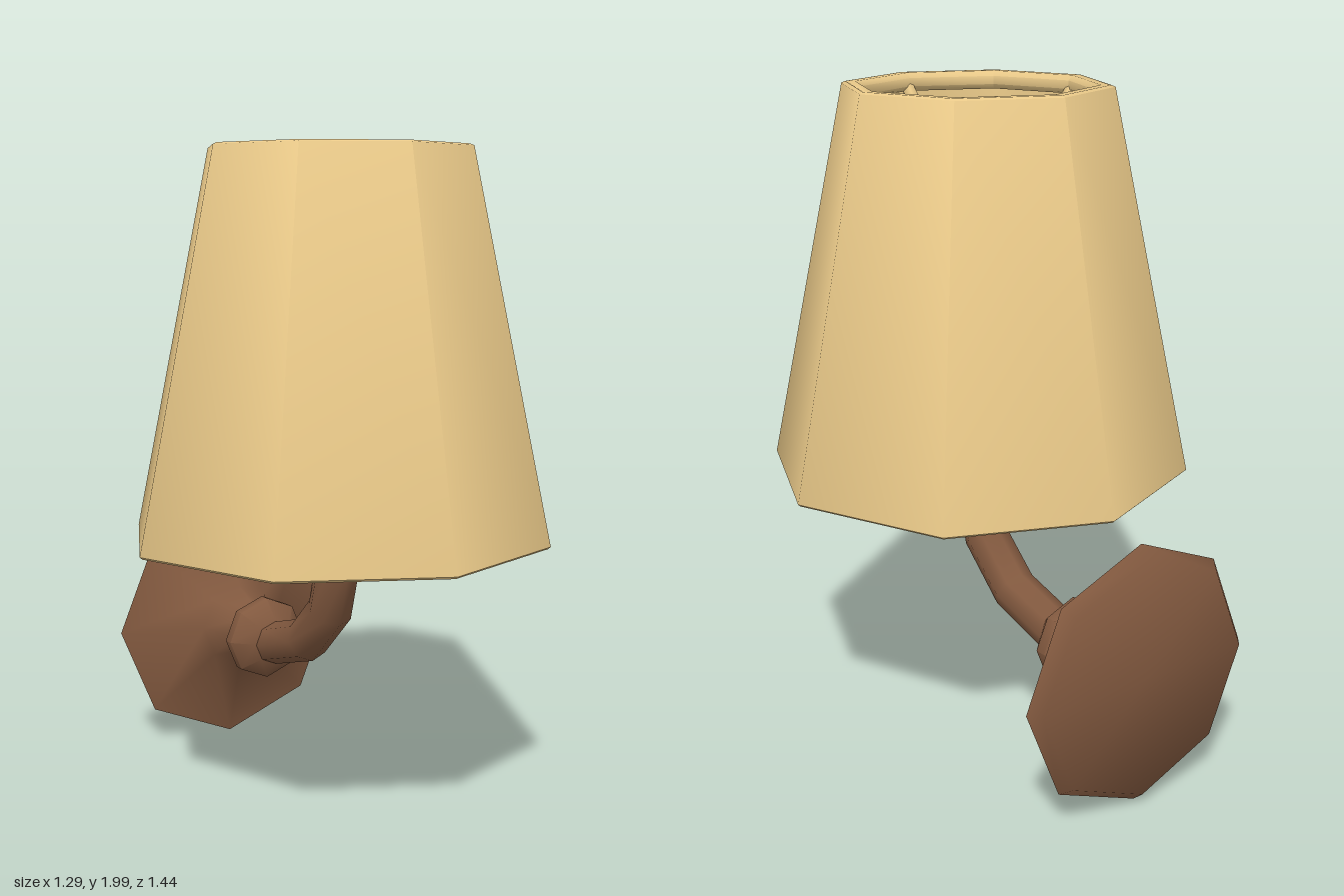
import * as THREE from 'three';
import { toCreasedNormals } from 'three/addons/utils/BufferGeometryUtils.js';

const AXIS_Z = 0.075; // shade, bulb and harp share this vertical axis
const cloth = new THREE.MeshStandardMaterial({ color: 0xe8c888, side: THREE.DoubleSide });
const bronze = new THREE.MeshStandardMaterial({ color: 0x82593f });
const glass = new THREE.MeshStandardMaterial({ color: 0xcccccc });

// Turned part from [radius, height] pairs, listed bottom to top
function turned(name, profile, sides, material) {
  const points = profile.map(([r, h]) => new THREE.Vector2(r, h));
  const geometry = toCreasedNormals(new THREE.LatheGeometry(points, sides), 1.0);
  const mesh = new THREE.Mesh(geometry, material);
  mesh.name = name;
  return mesh;
}

// Faceted tube with one ring at each [x, y, z] path point
function bentTube(name, path, radius, sides, material) {
  const curve = new THREE.CatmullRomCurve3(path.map((p) => new THREE.Vector3(...p)));
  curve.getUtoTmapping = (u) => u;
  const mesh = new THREE.Mesh(new THREE.TubeGeometry(curve, path.length - 1, radius, sides), material);
  mesh.name = name;
  return mesh;
}

export function createModel() {
  const model = new THREE.Group();
  model.name = 'wallLamp';

  // Wall plate with its neck and collar, turned about z
  const plate = turned('wallPlate', [
    [0, -0.722], [0.37, -0.722], [0.402, -0.685], [0.135, -0.6], [0.08, -0.47],
    [0.135, -0.43], [0.135, -0.395], [0.075, -0.335], [0, -0.335],
  ], 8, bronze);
  plate.rotation.x = Math.PI / 2;
  plate.position.y = 0.41;
  model.add(plate);

  // Arm sweeping forward and up into the shade
  model.add(bentTube('arm', [
    [0, 0.41, -0.4], [0, 0.407, -0.335], [0, 0.47, -0.115],
    [0, 0.6, 0.03], [0, 0.785, 0.085], [0, 1.06, 0.085],
  ], 0.07, 8, bronze));

  const top = new THREE.Group();
  top.name = 'shadeAssembly';
  top.position.z = AXIS_Z;
  model.add(top);

  // Thin tapered shade, open at both ends
  top.add(turned('shade', [
    [0.632, 0.845], [0.638, 0.835], [0.646, 0.842], [0.402, 1.995], [0.39, 2],
    [0.385, 1.99], [0.632, 0.845],
  ], 8, cloth));

  // Thick ring around the top opening
  top.add(turned('topRing', [
    [0.36, 1.945], [0.398, 1.95], [0.401, 1.99], [0.388, 2], [0.36, 2],
    [0.345, 1.985], [0.345, 1.96], [0.36, 1.945],
  ], 8, cloth));

  // Four harp wires from the ring down to the socket
  for (let i = 0; i < 4; i++) {
    const wire = bentTube('harpWire', [
      [0.375, 1.975, 0], [0.3, 1.89, 0], [0.215, 1.74, 0],
      [0.2, 1.4, 0], [0.16, 1.14, 0], [0.03, 1.03, 0],
    ], 0.021, 6, cloth);
    wire.rotation.y = (i * Math.PI) / 2;
    top.add(wire);
  }

  // Six-sided bulb
  const bulb = turned('bulb', [
    [0, 1.03], [0.08, 1.03], [0.09, 1.13], [0.17, 1.27], [0.19, 1.38],
    [0.165, 1.49], [0.1, 1.56], [0, 1.585],
  ], 6, glass);
  bulb.rotation.y = Math.PI / 6;
  top.add(bulb);

  return model;
}
